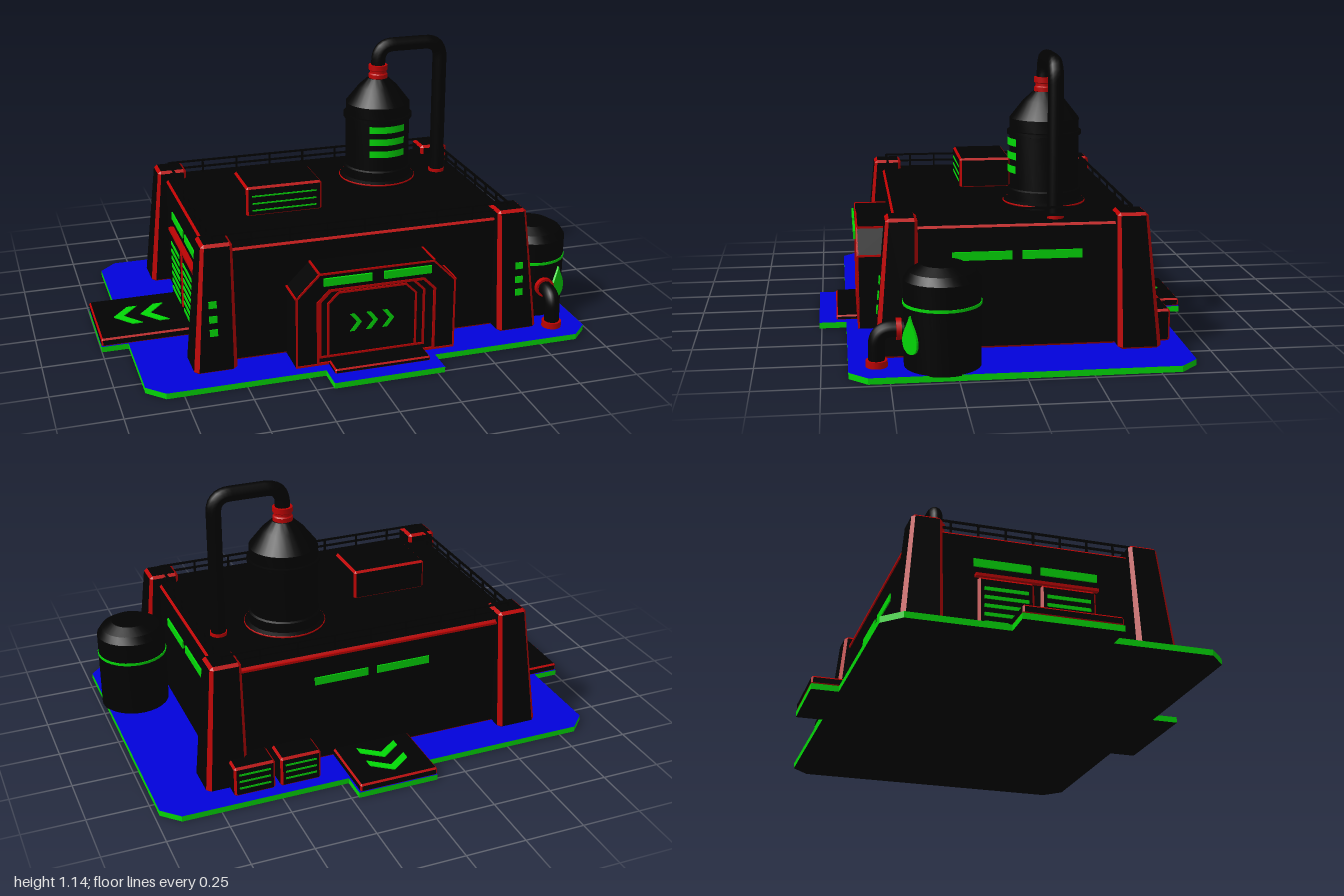
import * as THREE from 'three';
import { toCreasedNormals } from 'three/addons/utils/BufferGeometryUtils.js';

const paint = (name, color) => {
  const m = new THREE.MeshStandardMaterial({ color });
  m.name = name;
  return m;
};

export function createModel() {
  const black = paint('black panel', 0x020202);
  const red = paint('red trim', 0xbc0202);
  const green = paint('green light', 0x02d806);
  const blue = paint('blue ground', 0x0202dc);
  const model = new THREE.Group();
  const V = (x, y, z) => new THREE.Vector3(x, y, z);

  function add(name, geo, mat, x = 0, y = 0, z = 0) {
    const mesh = new THREE.Mesh(geo, mat);
    mesh.name = name;
    mesh.position.set(x, y, z);
    model.add(mesh);
    return mesh;
  }

  // Plain box given by its limits
  function box(name, mat, x0, x1, y0, y1, z0, z1) {
    return add(name, new THREE.BoxGeometry(x1 - x0, y1 - y0, z1 - z0), mat,
      (x0 + x1) / 2, (y0 + y1) / 2, (z0 + z1) / 2);
  }

  // Black box with red chamfered edges; warp may reshape each corner
  function trimBox(name, x0, x1, y0, y1, z0, z1, b = 0.009, by = b, warp = null) {
    const half = [(x1 - x0) / 2, (y1 - y0) / 2, (z1 - z0) / 2];
    const inset = [b, by, b];
    const pos = [];
    const corner = (signs, axis) => {
      const v = V(...signs.map((s, i) => s * (half[i] - (i === axis ? 0 : inset[i]))));
      if (warp) warp(v, half);
      return v;
    };
    const face = (pts) => {
      const mid = pts.reduce((s, p) => s.add(p), V(0, 0, 0));
      const n = pts[1].clone().sub(pts[0]).cross(pts[2].clone().sub(pts[0]));
      if (n.dot(mid) < 0) pts.reverse();
      for (let i = 1; i + 1 < pts.length; i++)
        for (const p of [pts[0], pts[i], pts[i + 1]]) pos.push(p.x, p.y, p.z);
    };
    const put = (a, sa, c, sc, e, se) => {
      const s = [0, 0, 0];
      s[a] = sa; s[c] = sc; s[e] = se;
      return s;
    };
    for (let a = 0; a < 3; a++) for (const s of [-1, 1]) {
      const c = (a + 1) % 3, e = (a + 2) % 3;
      face([[-1, -1], [1, -1], [1, 1], [-1, 1]].map(([p, q]) => corner(put(a, s, c, p, e, q), a)));
    }
    const split = pos.length / 3;
    for (let a = 0; a < 3; a++) for (const s of [-1, 1]) for (const t of [-1, 1]) {
      const c = (a + 1) % 3, e = (a + 2) % 3;
      face([[a, -1], [a, 1], [c, 1], [c, -1]].map(([axis, q]) => corner(put(a, s, c, t, e, q), axis)));
    }
    for (const x of [-1, 1]) for (const y of [-1, 1]) for (const z of [-1, 1])
      face([0, 1, 2].map((axis) => corner([x, y, z], axis)));
    const geo = new THREE.BufferGeometry();
    geo.setAttribute('position', new THREE.Float32BufferAttribute(pos, 3));
    geo.addGroup(0, split, 0);
    geo.addGroup(split, pos.length / 3 - split, 1);
    geo.computeVertexNormals();
    return add(name, geo, [black, red], (x0 + x1) / 2, (y0 + y1) / 2, (z0 + z1) / 2);
  }

  const shapeOf = (pts) => new THREE.Shape(pts.map(([x, y]) => new THREE.Vector2(x, y)));
  const slab = (shape, depth) => new THREE.ExtrudeGeometry(shape, { depth, bevelEnabled: false, curveSegments: 10 });
  const lathe = (pts, n = 28) => toCreasedNormals(
    new THREE.LatheGeometry(pts.map(([r, y]) => new THREE.Vector2(r, y)), n), 0.45);

  // Ground plate: chamfered corners and tabs, drawn as (x, -z)
  const ground = shapeOf([
    [-0.82, -0.65], [-0.18, -0.65], [-0.18, -0.76], [0.28, -0.76], [0.28, -0.65], [0.91, -0.65],
    [0.98, -0.58], [0.98, 0.58], [0.91, 0.65], [0.22, 0.65], [0.22, 0.76], [-0.12, 0.76], [-0.12, 0.65],
    [-0.82, 0.65], [-0.89, 0.58], [-0.89, 0.19], [-1, 0.19], [-1, -0.19], [-0.89, -0.19], [-0.89, -0.58]]);
  add('groundPlate', slab(ground, 0.018).rotateX(-Math.PI / 2), [black, green]);
  add('groundTop', slab(ground, 0.006).rotateX(-Math.PI / 2), [blue, green], 0, 0.018, 0);

  // Main hall and tapered corner pillars
  trimBox('hall', -0.605, 0.69, 0.024, 0.51, -0.475, 0.465);
  box('rearCornice', red, -0.52, 0.61, 0.494, 0.503, -0.481, -0.472);
  for (const sx of [-1, 1]) for (const sz of [-1, 1]) {
    const x = 0.045 + sx * 0.645, z = sz * 0.465;
    trimBox('pillar', x - 0.088, x + 0.088, 0.024, 0.55, z - 0.085, z + 0.085, 0.018, 0.011, (v, h) => {
      const t = (v.y + h[1]) / (2 * h[1]);
      v.x -= sx * 0.05 * t * (sx * v.x + h[0]) / (2 * h[0]);
      v.z -= sz * 0.05 * t * (sz * v.z + h[2]) / (2 * h[2]);
    });
    if (sz > 0) for (const y of [0.195, 0.25, 0.31]) {
      const lamp = add('pillarLamp', new THREE.BoxGeometry(0.032, 0.028, 0.01), green,
        x + sx * 0.004, y, 0.55 - 0.05 * (y - 0.024) / 0.526);
      lamp.rotation.x = -0.095;
    }
  }

  // Wall light strips, two per wall
  for (const s of [-1, 1]) {
    const a = s > 0 ? 0.02 : -0.25, b = s > 0 ? 0.25 : -0.02;
    box('rightWallLight', green, 0.686, 0.697, 0.375, 0.408, a, b);
    box('leftWallLight', green, -0.611, -0.601, 0.375, 0.408, a, b);
    box('backWallLight', green, 0.045 + a, 0.045 + b, 0.375, 0.408, -0.48, -0.471);
  }

  // Louvred shutters on the left wall, under a red lintel
  box('shutterLintel', red, -0.628, -0.6, 0.33, 0.342, -0.245, 0.25);
  for (const z of [-0.235, 0.015]) {
    trimBox('shutter', -0.622, -0.59, 0.03, 0.33, z, z + 0.225, 0.01);
    for (let i = 0; i < 7; i++)
      box('shutterSlat', green, -0.626, -0.618, 0.065 + i * 0.035, 0.079 + i * 0.035, z + 0.025, z + 0.2);
  }

  // Roof railing
  for (const y of [0.537, 0.566]) {
    for (const z of [-0.445, 0.445]) box('rail', black, -0.58, 0.67, y - 0.004, y + 0.004, z - 0.004, z + 0.004);
    for (const x of [-0.58, 0.665]) box('rail', black, x - 0.004, x + 0.004, y - 0.004, y + 0.004, -0.445, 0.445);
  }
  for (let i = 0; i <= 8; i++) for (const s of [-1, 1]) {
    const x = -0.58 + i * 0.1556, z = -0.445 + i * 0.1112;
    box('railPost', black, x - 0.004, x + 0.004, 0.505, 0.568, s * 0.445 - 0.004, s * 0.445 + 0.004);
    const px = 0.0425 + s * 0.6225;
    box('railPost', black, px - 0.004, px + 0.004, 0.505, 0.568, z - 0.004, z + 0.004);
  }

  // Front gate: arch with a recessed door
  const arch = (w, h, c) => [[-w, 0], [w, 0], [w, h - c], [w - c, h], [-w + c, h], [-w, h - c]];
  const ring = (outer, inner) => {
    const s = shapeOf(outer);
    s.holes.push(shapeOf(inner));
    return s;
  };
  const lift = (pts, y) => pts.map(([x, v]) => [x, v + y]);
  const gx = 0.045, gy = 0.024;
  add('gateArch', slab(ring(arch(0.335, 0.396, 0.095), lift(arch(0.245, 0.32, 0.05), 0.001)), 0.14), black, gx, gy, 0.46);
  add('gateDoor', slab(shapeOf(arch(0.245, 0.32, 0.05)), 0.085), black, gx, gy, 0.46);
  for (const [w, h, c, t, z] of [[0.335, 0.396, 0.095, 0.007, 0.597], [0.25, 0.325, 0.05, 0.01, 0.597],
    [0.225, 0.3, 0.05, 0.009, 0.543], [0.19, 0.285, 0.045, 0.008, 0.543]])
    add('gateTrim', slab(ring(arch(w, h, c), lift(arch(w - t, h - 2 * t, c - t / 2), t)), 0.007), red, gx, gy, z);
  for (const s of [-1, 1]) for (const [dx, y] of [[0.24, 0.42], [0.335, 0.325]])
    box('gateEdge', red, gx + s * dx - 0.004, gx + s * dx + 0.004, y - 0.004, y + 0.003, 0.466, 0.6);
  for (const x of [-0.18, 0.07]) box('gateLamp', green, x, x + 0.2, 0.37, 0.402, 0.606, 0.615);
  trimBox('gateStep', -0.155, 0.245, 0.02, 0.042, 0.6, 0.69, 0.006);

  // Chevron pointing along +x, centred on the origin
  const chevron = (len, h, t) => slab(shapeOf([[-len / 2, -h], [-len / 2 + t, -h], [len / 2, 0],
    [-len / 2 + t, h], [-len / 2, h], [len / 2 - t, 0]]), 0.005);
  for (let i = 0; i < 3; i++) add('doorChevron', chevron(0.05, 0.038, 0.02), green, -0.024 + i * 0.069, 0.165, 0.543);

  // Loading pads with arrows
  trimBox('leftPad', -1, -0.6, 0.022, 0.057, -0.188, 0.188, 0.007);
  trimBox('backPad', -0.12, 0.215, 0.022, 0.057, -0.76, -0.46, 0.007);
  for (let i = 0; i < 2; i++) {
    add('padChevron', chevron(0.11, 0.082, 0.042).rotateZ(Math.PI).rotateX(-Math.PI / 2), green, -0.865 + i * 0.114, 0.056, 0);
    add('padChevron', chevron(0.1, 0.082, 0.038).rotateZ(Math.PI / 2).rotateX(-Math.PI / 2), green, 0.045, 0.056, -0.66 + i * 0.1);
  }

  // Louvred machine boxes behind, and one on the roof
  for (const x of [0.32, 0.512]) {
    trimBox('rearUnit', x, x + 0.17, 0.022, 0.152, -0.605, -0.49);
    for (let i = 0; i < 3; i++) box('rearSlat', green, x + 0.02, x + 0.15, 0.055 + i * 0.03, 0.063 + i * 0.03, -0.607, -0.602);
  }
  trimBox('roofUnit', -0.37, -0.045, 0.505, 0.635, -0.07, 0.15);
  for (const y of [0.53, 0.56, 0.592]) box('roofSlat', green, -0.345, -0.07, y, y + 0.006, 0.147, 0.153);

  // Roof silo with neck and overflow pipe
  const sx = 0.305, sz = -0.16;
  add('silo', lathe([[0.165, 0.505], [0.165, 0.528], [0.148, 0.535], [0.148, 0.575], [0.14, 0.58], [0.14, 0.795],
    [0.15, 0.797], [0.15, 0.812], [0.14, 0.814], [0.14, 0.862], [0.085, 0.932], [0.045, 0.968], [0, 0.968]]), black, sx, 0, sz);
  add('siloFoot', new THREE.TorusGeometry(0.164, 0.004, 6, 32).rotateX(Math.PI / 2), red, sx, 0.524, sz);
  add('siloNeck', lathe([[0.036, 0.96], [0.041, 0.968], [0.041, 0.985], [0.036, 0.99], [0.036, 1.0],
    [0.041, 1.004], [0.041, 1.025], [0, 1.028]], 16), red, sx, 0, sz);
  // Lamp bands wrapped round the front of the silo
  for (const y of [0.66, 0.715, 0.77])
    add('siloLamp', new THREE.CylinderGeometry(0.148, 0.148, 0.03, 10, 1, true, -0.56, 1.12), green, sx, y, sz);

  function pipe(name, pts, r, bend) {
    const path = new THREE.CurvePath();
    let from = pts[0];
    for (let i = 1; i < pts.length - 1; i++) {
      const a = pts[i].clone().add(pts[i - 1].clone().sub(pts[i]).setLength(bend));
      const b = pts[i].clone().add(pts[i + 1].clone().sub(pts[i]).setLength(bend));
      path.add(new THREE.LineCurve3(from, a));
      path.add(new THREE.QuadraticBezierCurve3(a, pts[i], b));
      from = b;
    }
    path.add(new THREE.LineCurve3(from, pts[pts.length - 1]));
    add(name, new THREE.TubeGeometry(path, 60, r, 12, false), black);
  }
  pipe('siloPipe', [V(sx, 1.02, sz), V(sx, 1.11, sz), V(0.59, 1.11, sz), V(0.59, 0.505, sz)], 0.031, 0.07);
  add('pipeCollar', new THREE.CylinderGeometry(0.035, 0.035, 0.015, 16), red, 0.59, 0.516, sz);

  // Side tank with band, droplet sign and outlet
  const tx = 0.848, tz = 0.3;
  add('tank', lathe([[0.145, 0.02], [0.145, 0.355], [0.125, 0.385], [0.08, 0.41], [0, 0.414]]), black, tx, 0, tz);
  add('tankBand', new THREE.CylinderGeometry(0.148, 0.148, 0.011, 28), green, tx, 0.265, tz);
  const drop = new THREE.Shape();
  drop.moveTo(0, 0.09);
  drop.bezierCurveTo(-0.012, 0.055, -0.045, 0.025, -0.045, -0.01);
  drop.bezierCurveTo(-0.045, -0.07, 0.045, -0.07, 0.045, -0.01);
  drop.bezierCurveTo(0.045, 0.025, 0.012, 0.055, 0, 0.09);
  const turn = 0.57;
  add('dropletSign', slab(drop, 0.009), green, tx + 0.143 * Math.sin(turn), 0.145, tz + 0.143 * Math.cos(turn)).rotation.y = turn;
  pipe('tankOutlet', [V(tx, 0.165, 0.42), V(tx, 0.165, 0.545), V(tx, 0.022, 0.545)], 0.031, 0.06);
  add('outletFlange', new THREE.CylinderGeometry(0.041, 0.041, 0.02, 16).rotateX(Math.PI / 2), red, tx, 0.165, 0.462);
  add('outletFoot', new THREE.CylinderGeometry(0.041, 0.041, 0.026, 16), red, tx, 0.036, 0.545);

  return model;
}
